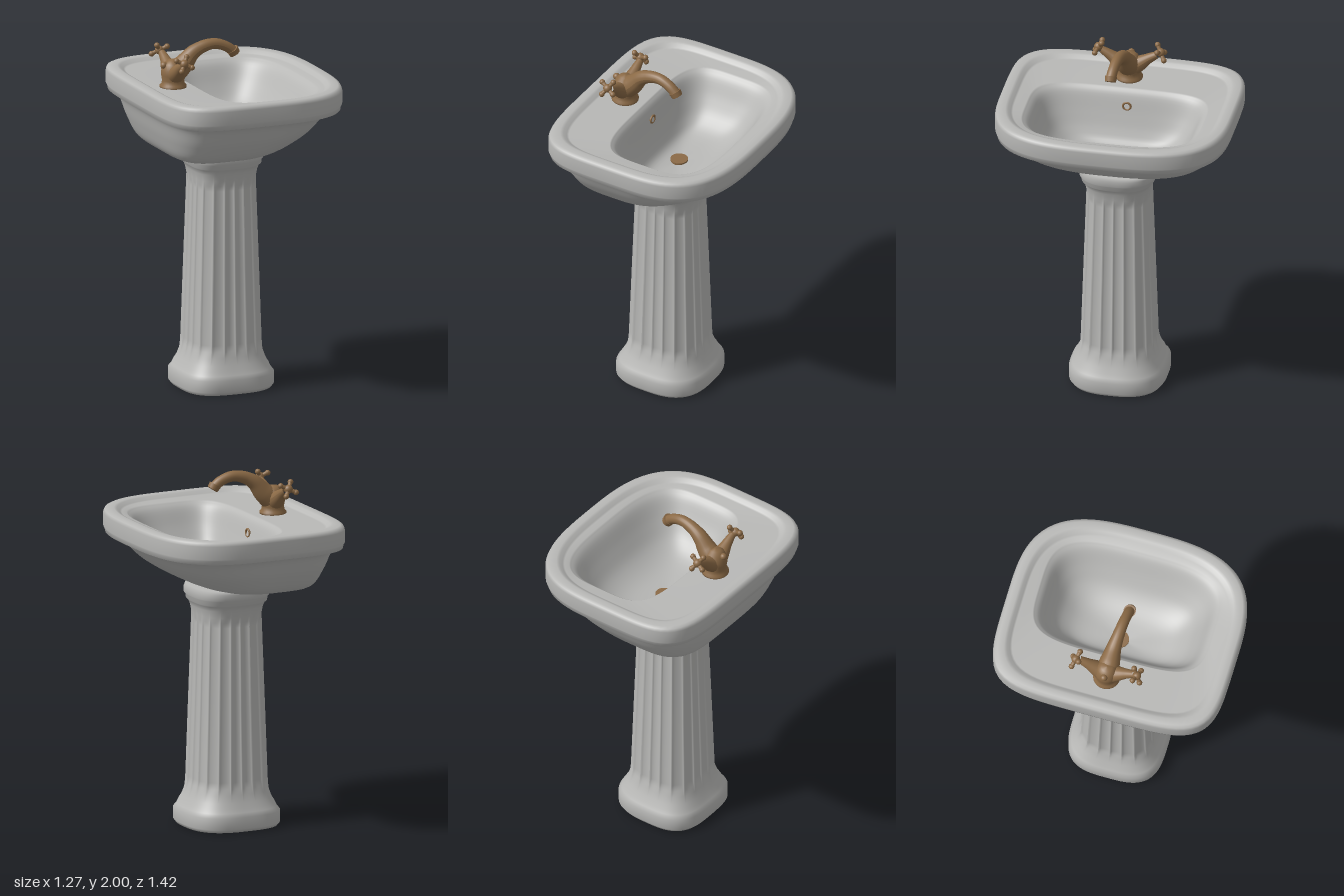
import * as THREE from 'three';

const { lerp, smoothstep } = THREE.MathUtils;

// Rounded-rectangle loft. Ring: [y, backX, frontX, halfWidth, backPower, frontPower, fluteDepth]
function loft(rings, seg, flutes = 0) {
  const pos = [], idx = [];
  rings.forEach(([y, xb, xf, h, nb, nf, depth = 0]) => {
    const cx = (xb + xf) / 2, sx = (xf - xb) / 2;
    for (let j = 0; j < seg; j++) {
      const t = (j / seg) * Math.PI * 2, c = Math.cos(t), s = Math.sin(t);
      const n = c > 0 ? nf : nb;
      let r = 1 / Math.pow(Math.abs(c) ** n + Math.abs(s) ** n, 1 / n);
      r *= 1 - depth * Math.sqrt(Math.abs(Math.sin((flutes * t) / 2)));
      pos.push(cx + sx * c * r, y, h * s * r);
    }
  });
  for (let i = 0; i < rings.length - 1; i++) {
    for (let j = 0; j < seg; j++) {
      const a = i * seg + j, b = i * seg + ((j + 1) % seg), c = a + seg, d = b + seg;
      idx.push(a, c, b, b, c, d);
    }
  }
  const g = new THREE.BufferGeometry();
  g.setAttribute('position', new THREE.Float32BufferAttribute(pos, 3));
  g.setIndex(idx);
  g.computeVertexNormals();
  return g;
}

// Fills in rings smoothly between a few key rings
function smoothRings(keys, steps, backPower, frontPower) {
  const spline = new THREE.CubicInterpolant(keys.map((k, i) => i), keys.flat(), 4);
  return Array.from({ length: steps + 1 }, (_, i) =>
    [...spline.evaluate((i / steps) * (keys.length - 1)), backPower, frontPower]);
}

// Tube whose radius follows a list of values
function taperTube(points, radii, seg = 40, sides = 20) {
  const path = new THREE.CatmullRomCurve3(points.map((p) => new THREE.Vector3(...p)));
  const g = new THREE.TubeGeometry(path, seg, 1, sides);
  const p = g.attributes.position, v = new THREE.Vector3();
  for (let i = 0; i <= seg; i++) {
    const centre = path.getPointAt(i / seg);
    const f = (i / seg) * (radii.length - 1), k = Math.min(Math.floor(f), radii.length - 2);
    const r = lerp(radii[k], radii[k + 1], f - k);
    for (let j = 0; j <= sides; j++) {
      const n = i * (sides + 1) + j;
      v.fromBufferAttribute(p, n).sub(centre).multiplyScalar(r).add(centre);
      p.setXYZ(n, v.x, v.y, v.z);
    }
  }
  g.computeVertexNormals();
  return g;
}

export function createModel() {
  const porcelain = new THREE.MeshStandardMaterial({ color: 0xb8b8b6 });
  porcelain.name = 'porcelain';
  const brass = new THREE.MeshStandardMaterial({ color: 0x8b6a46 });
  brass.name = 'aged brass';

  const model = new THREE.Group();
  model.name = 'pedestalSink';
  const sink = new THREE.Group();
  sink.name = 'sink';
  sink.rotation.y = 0.3;
  model.add(sink);
  const add = (parent, name, geo, mat, x = 0, y = 0, z = 0) => {
    const m = new THREE.Mesh(geo, mat);
    m.name = name;
    m.position.set(x, y, z);
    parent.add(m);
    return m;
  };

  // Basin underside: flat bottom flaring up to the rim
  const underside = smoothRings([
    [1.36, -0.33, 0.0, 0.29], [1.4, -0.41, 0.21, 0.45], [1.5, -0.455, 0.395, 0.55],
    [1.6, -0.485, 0.495, 0.61], [1.636, -0.51, 0.555, 0.645],
  ], 20, 4, 2.8);
  const bottom = [1.36, -0.165, -0.165, 0, 4, 2.8];
  add(sink, 'basinUnderside', loft([bottom, ...underside], 120), porcelain, 0, 0, -0.003);

  // Rim: one outline inset by [height, inset], down to the sunken deck
  const rim = [[1.628, 0.07], [1.63, 0.02], [1.634, 0.009], [1.655, 0.006], [1.665, 0], [1.74, 0],
    [1.757, 0.007], [1.765, 0.022], [1.765, 0.055], [1.761, 0.07], [1.746, 0.085], [1.742, 0.095]]
    .map(([y, inset]) => [y, inset - 0.532, 0.585 - inset, 0.666 - inset, 5, 3.1]);

  // Bowl: steep at the back, sloping gently from the front
  const bowl = smoothRings([
    [1.738, -0.195, 0.455, 0.51], [1.7, -0.165, 0.415, 0.47], [1.6, -0.13, 0.355, 0.415],
    [1.51, -0.095, 0.285, 0.345], [1.45, -0.055, 0.18, 0.23], [1.425, 0.03, 0.03, 0],
  ], 24, 4.5, 3.4);
  add(sink, 'rimDeckAndBowl', loft([...rim, ...bowl], 120), porcelain, 0, 0, -0.003);

  // Pedestal: [height, half size], fluted along the shaft only
  const pedestal = [[0, 0], [0, 0.26], [0.02, 0.274], [0.085, 0.274], [0.108, 0.257],
    [0.13, 0.248], [0.16, 0.231], [0.2, 0.217], [0.235, 0.213], [0.27, 0.211], [0.7, 0.197],
    [1.15, 0.182], [1.18, 0.181], [1.21, 0.18], [1.25, 0.187], [1.275, 0.197], [1.285, 0.208],
    [1.31, 0.211], [1.318, 0.219], [1.35, 0.219], [1.37, 0.212], [1.37, 0]]
    .map(([y, h]) => {
      const flute = 0.065 * smoothstep(y, 0.2, 0.27) * (1 - smoothstep(y, 1.15, 1.21));
      return [y, -h, h, h, 3.2, 2.7, flute];
    });
  add(sink, 'pedestal', loft(pedestal, 240, 20), porcelain, -0.013, 0, -0.005);

  // Drain and overflow
  add(sink, 'drain', new THREE.CylinderGeometry(0.05, 0.05, 0.012, 32), brass, 0.03, 1.434, -0.02);
  const overflow = add(sink, 'overflowRing', new THREE.TorusGeometry(0.022, 0.006, 10, 24), brass, -0.143, 1.645, -0.02);
  overflow.rotation.y = Math.PI / 2;

  // Tap
  const tap = new THREE.Group();
  tap.name = 'tap';
  tap.position.set(-0.31, 0, 0);
  sink.add(tap);
  const profile = [[0, 1.735], [0.076, 1.735], [0.076, 1.75], [0.066, 1.758], [0.062, 1.78],
    [0.067, 1.81], [0.066, 1.84], [0.052, 1.875], [0.03, 1.895], [0, 1.9]];
  add(tap, 'tapBody', new THREE.LatheGeometry(profile.map((p) => new THREE.Vector2(...p)), 32), brass);
  add(tap, 'spout', taperTube([[0, 1.81, 0], [0.06, 1.865, 0.005], [0.115, 1.926, 0.01],
    [0.18, 1.96, 0.017], [0.245, 1.969, 0.023], [0.31, 1.948, 0.03], [0.35, 1.918, 0.034]],
  [0.065, 0.058, 0.045, 0.036, 0.031, 0.029, 0.029]), brass);
  const nozzle = add(tap, 'nozzle', new THREE.CylinderGeometry(0.035, 0.031, 0.03, 24), brass, 0.352, 1.916, 0.034);
  nozzle.rotation.z = 0.6;

  // Lift rod knob behind the body
  add(tap, 'liftRod', taperTube([[-0.03, 1.83, 0], [-0.045, 1.85, 0], [-0.055, 1.865, 0]], [0.012, 0.01], 6, 10), brass);
  add(tap, 'liftKnob', new THREE.SphereGeometry(0.02, 16, 12), brass, -0.056, 1.868, 0);

  // Mirrored valve arms with cross handles
  for (const side of [-1, 1]) {
    add(tap, 'valveArm', taperTube([[0, 1.8, 0], [0, 1.835, side * 0.06], [0, 1.87, side * 0.11],
      [0, 1.9, side * 0.16]], [0.06, 0.046, 0.03, 0.02], 20), brass);
    const handle = new THREE.Group();
    handle.name = 'crossHandle';
    handle.position.set(-0.008, 1.91, side * 0.177);
    handle.rotation.x = side;
    tap.add(handle);
    add(handle, 'hub', new THREE.SphereGeometry(0.025, 16, 12), brass);
    for (let i = 0; i < 4; i++) {
      const spoke = new THREE.Group();
      spoke.name = 'spoke';
      spoke.rotation.y = (i * Math.PI) / 2 + Math.PI / 3;
      handle.add(spoke);
      const bar = add(spoke, 'spokeBar', new THREE.CylinderGeometry(0.013, 0.01, 0.045, 12), brass, 0.026);
      bar.rotation.z = -Math.PI / 2;
      add(spoke, 'spokeTip', new THREE.SphereGeometry(0.016, 12, 10), brass, 0.048);
    }
  }
  return model;
}
